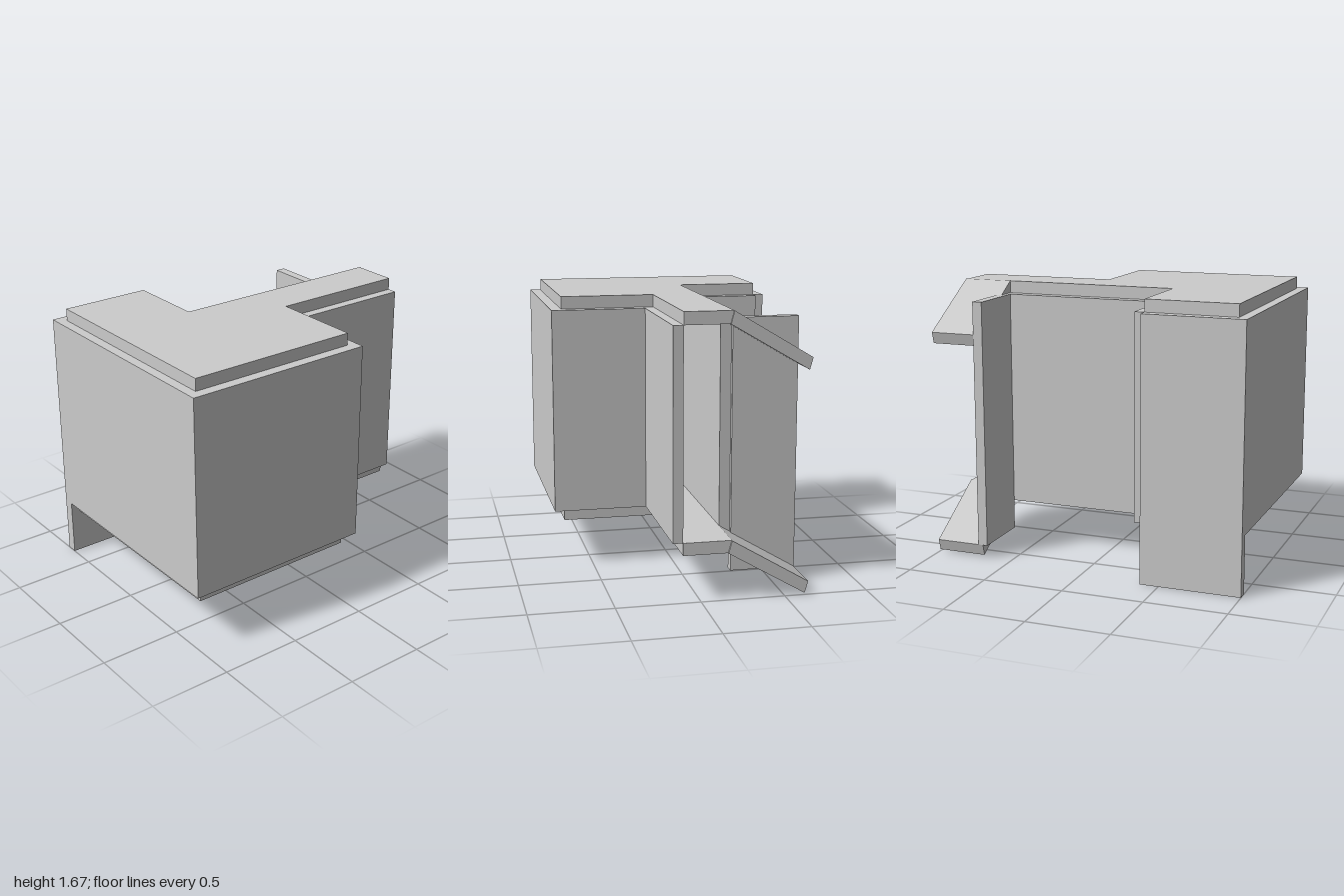
import * as THREE from 'three';

const material = new THREE.MeshStandardMaterial({ color: 0xcccccc, flatShading: true });

// Box given by its limits along each axis
function panel(name, [x0, x1], [y0, y1], [z0, z1]) {
  const geometry = new THREE.BoxGeometry(x1 - x0, y1 - y0, z1 - z0);
  const mesh = new THREE.Mesh(geometry, material);
  mesh.position.set((x0 + x1) / 2, (y0 + y1) / 2, (z0 + z1) / 2);
  mesh.name = name;
  return mesh;
}

function extrude(points, depth) {
  const shape = new THREE.Shape(points.map(([a, b]) => new THREE.Vector2(a, b)));
  return new THREE.ExtrudeGeometry(shape, { depth, bevelEnabled: false });
}

// Flat slab from a plan outline of [x, z] points
function slab(name, outline, y, thickness) {
  const geometry = extrude(outline.map(([x, z]) => [x, -z]), thickness);
  geometry.rotateX(-Math.PI / 2);
  const mesh = new THREE.Mesh(geometry, material);
  mesh.position.y = y;
  mesh.name = name;
  return mesh;
}

// Tilted slab from a side profile of [z, y] points, swept along x
function ramp(name, profile, y, [x0, x1]) {
  const geometry = extrude(profile.map(([z, h]) => [-z, h]), x1 - x0);
  geometry.rotateY(Math.PI / 2);
  const mesh = new THREE.Mesh(geometry, material);
  mesh.position.set(x0, y, 0);
  mesh.name = name;
  return mesh;
}

export function createModel() {
  const model = new THREE.Group();
  model.name = 'roomWithCorridor';

  // Floor and ceiling: the same plan and the same sloping extension
  const plan = [
    [-0.94, 0.67], [0.135, 0.67], [0.135, 0.105], [0.99, 0.105],
    [0.99, -0.18], [-0.385, -0.18], [-0.385, -0.675], [-0.94, -0.675],
  ];
  const slope = [[-0.16, 0], [-0.18, 0.075], [-0.64, -0.2], [-0.62, -0.27]];
  for (const [part, y] of [['floor', 0.28], ['ceiling', 1.6]]) {
    model.add(slab(part, plan, y, 0.075));
    model.add(ramp(part + 'Ramp', slope, y, [0.69, 1]));
  }

  // Walls standing just outside the slab edges
  const height = [0.355, 1.6];
  model.add(
    panel('roomFrontWall', [-1, 0.195], height, [0.67, 0.735]),
    panel('roomLeftWall', [-1, -0.94], height, [-0.675, 0.67]),
    panel('roomRightWall', [0.135, 0.195], height, [0.105, 0.67]),
    panel('roomBackWall', [-1, -0.385], [0, 1.6], [-0.74, -0.675]),
    panel('roomInnerWall', [-0.385, -0.325], height, [-0.675, -0.245]),
    panel('corridorFrontWall', [0.195, 0.99], height, [0.105, 0.165]),
    panel('corridorBackWall', [-0.55, 0.69], [0.265, 1.6], [-0.245, -0.18]),
    panel('rampSideWall', [0.66, 0.72], [0.08, 1.6], [-0.64, -0.245]),
  );
  return model;
}
